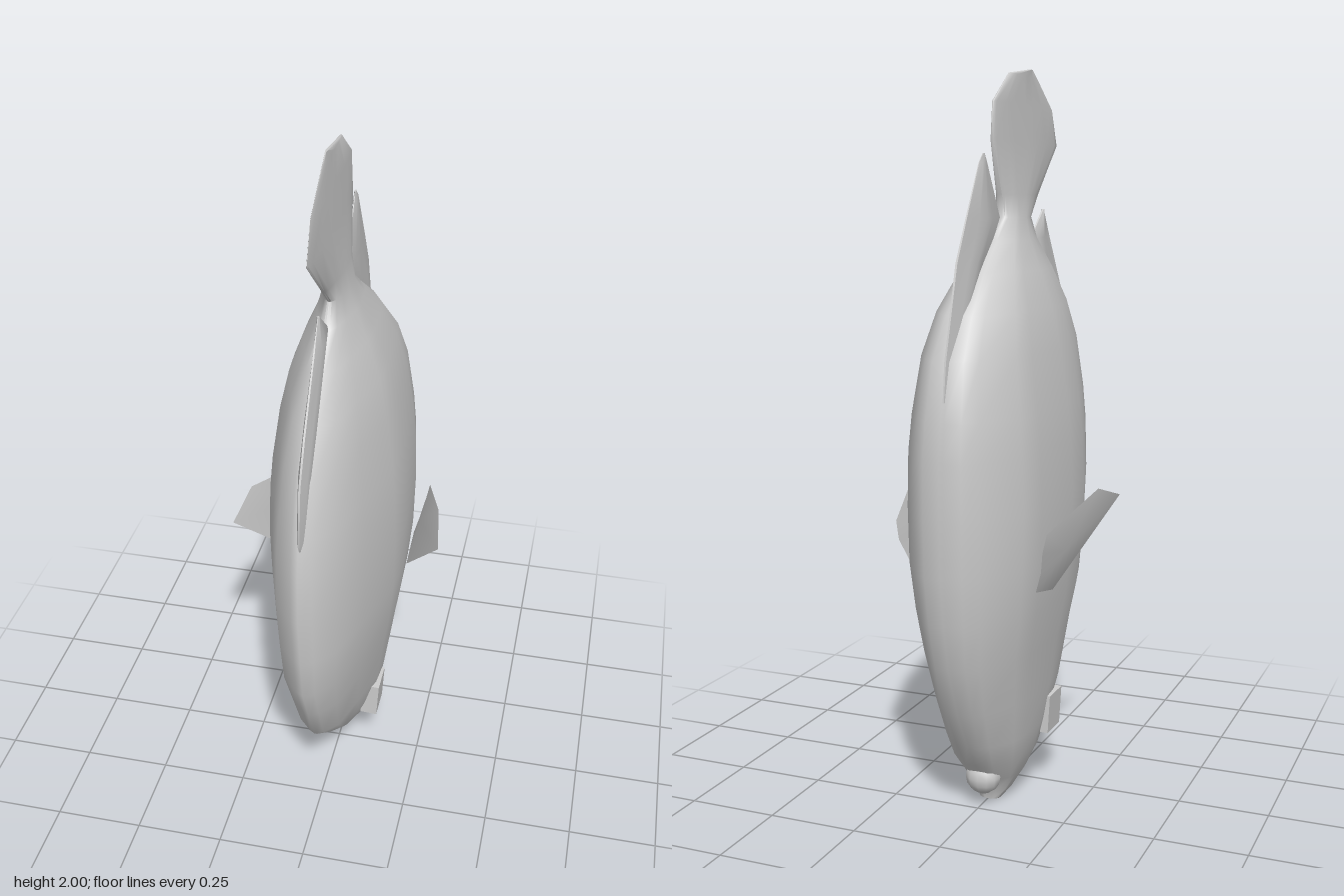
import * as THREE from 'three';
import { toCreasedNormals } from 'three/addons/utils/BufferGeometryUtils.js';

const material = new THREE.MeshStandardMaterial({ color: 0xcccccc });

// Half cross-sections, [depth from back edge (+1) to belly (-1), half-width fraction]
const BODY = [[1, 0.03], [0.97, 0.15], [0.86, 0.42], [0.55, 0.68], [0.2, 0.95], [-0.05, 1],
  [-0.5, 0.95], [-0.69, 0.87], [-0.93, 0.48], [-0.99, 0.28], [-1, 0.03]];
const BLADE = [[1, 0.15], [0.4, 0.7], [0, 1], [-0.4, 0.7], [-1, 0.15]];

function indexed(points, index, crease) {
  const geo = new THREE.BufferGeometry();
  geo.setAttribute('position', new THREE.Float32BufferAttribute(points.flat(), 3));
  geo.setIndex(index);
  return toCreasedNormals(geo, crease);
}

// Lofts rows of [y, zFront, zBack, halfWidth] through a mirrored half section
function loft(rows, half, crease = 1.2) {
  const ring = [...half, ...half.map(([d, w]) => [d, -w]).reverse()];
  const n = ring.length, points = [], index = [];
  for (const [y, front, back, w] of rows) {
    const mid = (front + back) / 2, depth = (front - back) / 2;
    for (const [d, f] of ring) points.push([w * f, y, mid + depth * d]);
  }
  for (let i = 0; i < rows.length - 1; i++) {
    for (let j = 0; j < n; j++) {
      const a = i * n + j, b = i * n + (j + 1) % n;
      index.push(a, b, b + n, a, b + n, a + n);
    }
  }
  // End caps
  [rows[0], rows[rows.length - 1]].forEach(([y, front, back], end) => {
    const centre = points.length, start = end * (rows.length - 1) * n;
    points.push([0, y, (front + back) / 2]);
    for (let j = 0; j < n; j++) {
      const a = start + j, b = start + (j + 1) % n;
      index.push(centre, ...(end ? [a, b] : [b, a]));
    }
  });
  return indexed(points, index, crease);
}

// Thin two-sided fin: an outline with a slightly swollen middle on both faces
function finPad(outline, swell) {
  const n = outline.length;
  const mid = [0, 1, 2].map(k => outline.reduce((s, p) => s + p[k], 0) / n);
  const points = [...outline, mid.map((v, k) => v + swell[k]), mid.map((v, k) => v - swell[k])];
  const index = [];
  for (let i = 0; i < n; i++) {
    const j = (i + 1) % n;
    index.push(n, i, j, n + 1, j, i);
  }
  return indexed(points, index, 0.8);
}

export function createModel() {
  const model = new THREE.Group();
  model.name = 'fish';
  const add = (name, geometry) => {
    const mesh = new THREE.Mesh(geometry, material);
    mesh.name = name;
    model.add(mesh);
    return mesh;
  };

  // Body, nose down, running up into the tail fin
  add('bodyAndTail', loft([
    [0, -0.12, -0.18, 0.03],
    [0.025, -0.06, -0.185, 0.05],
    [0.07, 0.03, -0.215, 0.075],
    [0.13, 0.11, -0.27, 0.1],
    [0.2, 0.2, -0.315, 0.115],
    [0.31, 0.32, -0.375, 0.133],
    [0.45, 0.39, -0.43, 0.152],
    [0.57, 0.445, -0.455, 0.172],
    [0.7, 0.462, -0.472, 0.185],
    [0.85, 0.48, -0.475, 0.189],
    [1.0, 0.474, -0.475, 0.184],
    [1.1, 0.458, -0.463, 0.175],
    [1.25, 0.415, -0.43, 0.153],
    [1.36, 0.345, -0.36, 0.128],
    [1.46, 0.25, -0.255, 0.09],
    [1.54, 0.155, -0.145, 0.055],
    [1.6, 0.12, -0.075, 0.036],
    [1.66, 0.19, -0.09, 0.026],
    [1.8, 0.35, -0.14, 0.016],
    [1.9, 0.31, -0.132, 0.01],
    [1.98, 0.19, -0.02, 0.005],
    [2, 0.155, 0.13, 0.003],
  ], BODY));

  // Fins along the back and belly edges
  add('dorsalFin', loft([
    [1.07, 0.46, 0.4, 0.012],
    [1.1, 0.475, 0.39, 0.015],
    [1.26, 0.455, 0.34, 0.017],
    [1.37, 0.4, 0.26, 0.017],
    [1.54, 0.29, 0.14, 0.014],
    [1.62, 0.245, 0.235, 0.004],
  ], BLADE, 0.8));
  add('analFin', loft([
    [1.15, -0.38, -0.455, 0.012],
    [1.25, -0.34, -0.442, 0.016],
    [1.49, -0.18, -0.37, 0.018],
    [1.6, -0.09, -0.308, 0.014],
    [1.74, -0.172, -0.226, 0.007],
    [1.765, -0.188, -0.2, 0.003],
  ], BLADE, 0.8));

  // Lower lip
  const lip = new THREE.SphereGeometry(1, 12, 8);
  lip.scale(0.05, 0.05, 0.045);
  lip.translate(0, 0.08, -0.21);
  add('lip', lip);

  // Paired side fins and eyes
  const fin = finPad([
    [0.175, 0.635, -0.268], [0.19, 0.69, -0.27], [0.205, 0.75, -0.3], [0.215, 0.8, -0.295],
    [0.275, 0.88, -0.06], [0.295, 0.84, 0.07], [0.175, 0.61, -0.14],
  ], [0.012, -0.008, -0.006]);
  const eye = new THREE.BoxGeometry(0.05, 0.11, 0.095);
  eye.rotateZ(-0.06);
  eye.translate(0.105, 0.215, 0.003);
  for (const [side, sign] of [['left', 1], ['right', -1]]) {
    add(side + 'PectoralFin', fin).scale.x = sign;
    add(side + 'Eye', eye).scale.x = sign;
  }
  return model;
}
